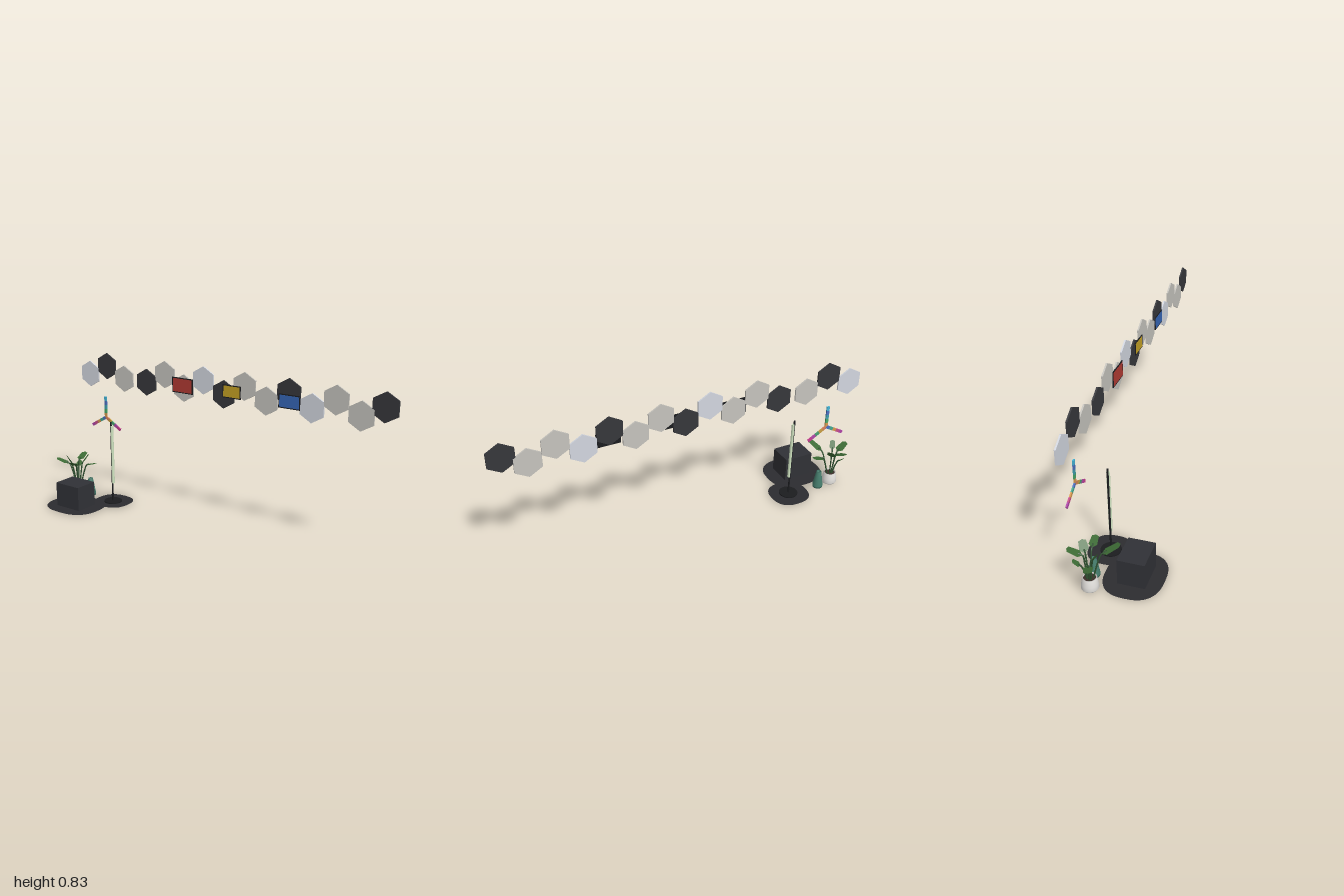
import * as THREE from 'three';

const mat = (color, opts = {}) => new THREE.MeshStandardMaterial({ color, ...opts });
const V = (a) => new THREE.Vector3(...a);

function add(parent, name, geo, material, x = 0, y = 0, z = 0) {
  const m = new THREE.Mesh(geo, material);
  m.name = name;
  m.position.set(x, y, z);
  parent.add(m);
  return m;
}

function group(parent, name) {
  const g = new THREE.Group();
  g.name = name;
  parent.add(g);
  return g;
}

// Flat rounded patch lying on the floor
function matGeometry(rx, rz, power) {
  const pts = [];
  for (let i = 0; i < 48; i++) {
    const a = (i / 48) * Math.PI * 2, c = Math.cos(a), s = Math.sin(a);
    pts.push(new THREE.Vector2(
      rx * Math.sign(c) * Math.abs(c) ** (2 / power),
      rz * Math.sign(s) * Math.abs(s) ** (2 / power)));
  }
  return new THREE.ShapeGeometry(new THREE.Shape(pts)).rotateX(-Math.PI / 2);
}

// Broad blade from base to tip, with a level cross direction
function leafGeometry(base, tip, width) {
  const dir = tip.clone().sub(base);
  const side = new THREE.Vector3(-dir.z, 0, dir.x).normalize().multiplyScalar(width / 2);
  const at = (t, s) => base.clone().addScaledVector(dir, t).addScaledVector(side, s);
  const p = [at(0, 0), at(0.25, 1), at(0.9, 0.8), at(1, 0), at(0.9, -0.8), at(0.25, -1)];
  const geo = new THREE.BufferGeometry().setFromPoints(p);
  geo.setIndex([0, 1, 2, 0, 2, 3, 0, 3, 4, 0, 4, 5]);
  geo.computeVertexNormals();
  return geo;
}

export function createModel() {
  const model = new THREE.Group();
  model.name = 'deskDecor';
  const black = mat(0x1b1c1f), dark = mat(0x303136);

  // Row of hexagonal wall panels
  const wall = group(model, 'wallPanels');
  const tones = {
    d: mat(0x36373b, { flatShading: true }),
    g: mat(0xc5c3bd, { flatShading: true }),
    b: mat(0xd2d6df, { flatShading: true }),
  };
  const hexGeo = new THREE.CylinderGeometry(0.0733, 0.0733, 0.008, 6).rotateX(Math.PI / 2);
  const xs = [-0.844, -0.718, -0.593, -0.435, -0.31, -0.184, -0.059, 0.067,
    0.192, 0.318, 0.443, 0.569, 0.694, 0.822, 0.936];
  xs.forEach((x, i) => {
    const high = i < 3 ? i === 1 : i % 2 === 0;
    add(wall, 'hexPanel', hexGeo, tones['bdgdggbdggdbggd'[i]], x, high ? 0.753 : 0.696, -0.205);
  });

  // Framed coloured pictures in front of the panels
  const frames = [
    [-0.189, 0.709, 0.132, 0.081, 0xb03a32],
    [0.118, 0.716, 0.107, 0.067, 0xc4a024],
    [0.449, 0.711, 0.118, 0.07, 0x3565b5],
  ];
  for (const [x, y, w, h, color] of frames) {
    const g = group(model, 'framedPicture');
    g.position.set(x, y, -0.2);
    add(g, 'frame', new THREE.BoxGeometry(w, h, 0.005), black);
    add(g, 'pictureFace', new THREE.BoxGeometry(w - 0.01, h - 0.01, 0.002), mat(color), 0, 0, 0.0022);
  }

  // Three-armed rainbow wall light, each arm made of coloured segments
  const light = group(model, 'rainbowLight');
  light.position.set(-0.737, 0.455, -0.206);
  const arms = [
    [0xd89a50, 0x45a868, 0x3f9fae, 0x4a6fc0, 0x45b5d8],
    [0xd8805a, 0xc9a045, 0x4aa070, 0xb04aa8, 0xc83f90],
    [0x4a70c0, 0x45a890, 0xd89a50, 0xc8508a, 0xb045a8],
  ];
  const segGeo = new THREE.BoxGeometry(0.016, 0.024, 0.007);
  arms.forEach((colors, k) => {
    const arm = group(light, 'lightArm');
    arm.rotation.z = -k * Math.PI * 2 / 3;
    colors.forEach((c, i) => add(arm, 'lightSegment', segGeo, mat(c), 0, 0.012 + i * 0.024, 0));
  });

  // Standing tube lamp
  const lamp = group(model, 'tubeLamp');
  lamp.position.set(-0.612, 0, -0.103);
  add(lamp, 'lampBase', new THREE.CylinderGeometry(0.05, 0.05, 0.007, 40), black, 0, 0.0035, 0);
  add(lamp, 'lampPole', new THREE.CylinderGeometry(0.0048, 0.0048, 0.46, 16), black, 0, 0.235, 0);
  const tube = add(lamp, 'lampTube', new THREE.CylinderGeometry(0.0088, 0.0088, 0.333, 24),
    mat(0xcfe3c0), 0.007, 0.2785, 0);
  tube.scale.x = 0.8;

  // Floor mats
  const matMat = mat(0x2c2c30, { side: THREE.DoubleSide });
  add(model, 'largeMat', matGeometry(0.16, 0.14, 2.6), matMat, -0.74, 0.0005, 0.063);
  add(model, 'smallMat', matGeometry(0.106, 0.103, 2.5), matMat, -0.612, 0.001, -0.107);

  // Cube-shaped box
  add(model, 'storageBox', new THREE.BoxGeometry(0.163, 0.134, 0.131), dark, -0.738, 0.07, 0.068);

  // Tapered vase
  const profile = (pts) => pts.map(([r, y]) => new THREE.Vector2(r, y));
  add(model, 'vase', new THREE.LatheGeometry(profile([
    [0, 0], [0.027, 0], [0.028, 0.012], [0.02, 0.06], [0.013, 0.1], [0.01, 0.1], [0.01, 0.08], [0, 0.08],
  ]), 32), mat(0x467d6d, { side: THREE.DoubleSide }), -0.793, 0, -0.117);

  // Potted plant
  const plant = group(model, 'pottedPlant');
  const cx = -0.877, cz = -0.104;
  add(plant, 'pot', new THREE.LatheGeometry(profile([
    [0, 0], [0.036, 0], [0.041, 0.008], [0.039, 0.03], [0.033, 0.064], [0.029, 0.064], [0.029, 0.055],
  ]), 32), mat(0xe2e0dc, { side: THREE.DoubleSide }), cx, 0, cz);
  add(plant, 'soil', new THREE.CylinderGeometry(0.03, 0.03, 0.004, 24), mat(0x3a2e28), cx, 0.056, cz);

  const stemMat = mat(0x2f5230);
  const leafMat = mat(0x3d6b35, { side: THREE.DoubleSide, flatShading: true });
  // Each leaf: blade base, blade tip, width
  const leaves = [
    [[-0.925, 0.172, -0.085], [-1.0, 0.2, -0.058], 0.045],
    [[-0.888, 0.19, -0.125], [-0.9, 0.222, -0.195], 0.045],
    [[-0.86, 0.18, -0.125], [-0.832, 0.23, -0.15], 0.045],
    [[-0.845, 0.18, -0.055], [-0.805, 0.224, 0.02], 0.045],
    [[-0.815, 0.178, -0.112], [-0.747, 0.197, -0.118], 0.04],
    [[-0.9, 0.185, -0.075], [-0.912, 0.232, -0.05], 0.032],
    [[-0.905, 0.145, -0.13], [-0.915, 0.175, -0.165], 0.035],
  ];
  for (const [b, t, w] of leaves) {
    const base = V(b), tip = V(t);
    const root = new THREE.Vector3(cx + (base.x - cx) * 0.3, 0.055, cz + (base.z - cz) * 0.3);
    const mid = root.clone().lerp(base, 0.55);
    mid.y += 0.012;
    const path = new THREE.CatmullRomCurve3([root, mid, base, base.clone().lerp(tip, 0.3)]);
    add(plant, 'stem', new THREE.TubeGeometry(path, 12, 0.0038, 6), stemMat);
    add(plant, 'leaf', leafGeometry(base, tip, w), leafMat);
  }

  return model;
}
